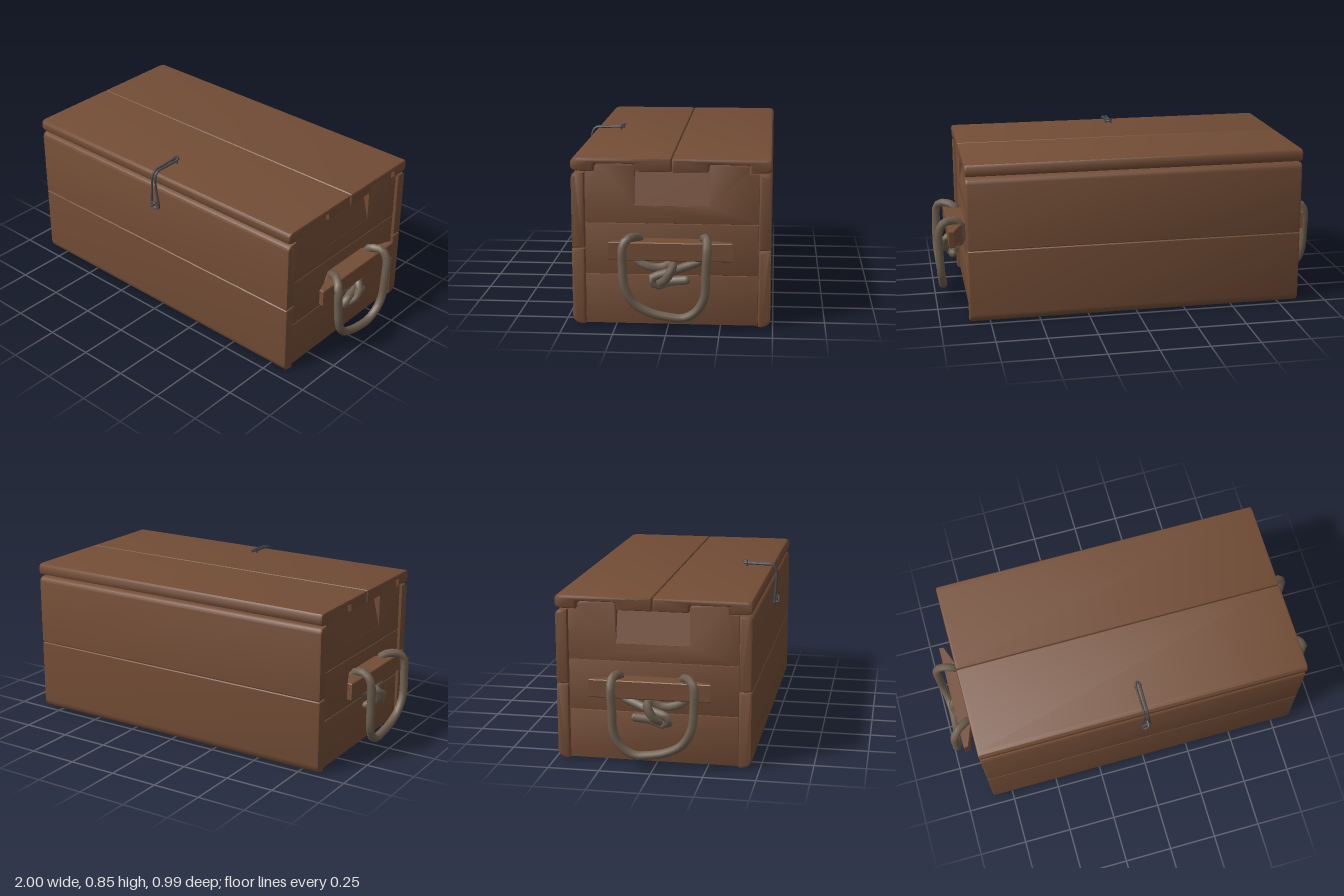
import * as THREE from 'three';
import { toCreasedNormals } from 'three/addons/utils/BufferGeometryUtils.js';

const wood = new THREE.MeshStandardMaterial({ color: 0x734d36 });
wood.name = 'brown wood';
const rope = new THREE.MeshStandardMaterial({ color: 0x6f6050 });
rope.name = 'hemp rope';
const iron = new THREE.MeshStandardMaterial({ color: 0x48484c });
iron.name = 'dark iron';

function add(parent, name, geometry, material, x = 0, y = 0, z = 0) {
  const mesh = new THREE.Mesh(geometry, material);
  mesh.name = name;
  mesh.position.set(x, y, z);
  parent.add(mesh);
  return mesh;
}

// Extrudes a [z, y] outline along x, between x0 and x1, with softened ends
function plank(outline, x0, x1, bevel) {
  const shape = new THREE.Shape(outline.map(([z, y]) => new THREE.Vector2(z, y)));
  const geo = new THREE.ExtrudeGeometry(shape, {
    depth: x1 - x0 - 2 * bevel, bevelThickness: bevel, bevelSize: bevel,
    bevelOffset: -bevel, bevelSegments: 2,
  });
  geo.translate(0, 0, bevel - (x1 - x0) / 2);
  geo.rotateY(-Math.PI / 2);
  geo.translate((x0 + x1) / 2, 0, 0);
  return toCreasedNormals(geo, 0.7);
}

const rect = (z0, z1, y0, y1) => [[z0, y0], [z1, y0], [z1, y1], [z0, y1]];

// Tube through [x, y, z] points with rounded ends
function cord(parent, name, points, radius, segments, sides, material, closed = false) {
  const pts = points.map((p) => new THREE.Vector3(...p));
  const curve = new THREE.CatmullRomCurve3(pts, closed, 'centripetal');
  add(parent, name, new THREE.TubeGeometry(curve, segments, radius, sides, closed), material);
  if (closed) return;
  for (const p of [pts[0], pts[pts.length - 1]]) {
    add(parent, name + 'End', new THREE.SphereGeometry(radius, sides, 4), material, p.x, p.y, p.z);
  }
}

function buildBody(model) {
  const body = new THREE.Group();
  body.name = 'body';
  model.add(body);
  add(body, 'innerBox', new THREE.BoxGeometry(1.58, 0.72, 0.84), wood, 0, 0.375, -0.017);
  add(body, 'bottomBoard', new THREE.BoxGeometry(1.64, 0.02, 0.85), wood, 0, 0.022, -0.017);

  // Two long boards on the front and on the back, rounded on the outside
  for (const [name, inner, outer] of [['front', 0.397, 0.46], ['back', -0.43, -0.49]]) {
    const s = Math.sign(outer);
    const lower = [[inner, 0.003], [outer - s * 0.045, 0], [outer - s * 0.018, 0.008],
      [outer - s * 0.003, 0.025], [outer, 0.045], [outer, 0.372], [outer - s * 0.004, 0.376], [inner, 0.376]];
    const upper = [[inner, 0.378], [outer - s * 0.004, 0.378], [outer, 0.382], [outer, 0.715],
      [outer - s * 0.005, 0.732], [outer - s * 0.02, 0.743], [inner, 0.745]];
    add(body, name + 'LowerBoard', plank(lower, -0.855, 0.855, 0.012), wood);
    add(body, name + 'UpperBoard', plank(upper, -0.855, 0.855, 0.012), wood);
  }
}

// One end of the chest: boards, grip bar and rope handle, built on +x
function buildEnd() {
  const end = new THREE.Group();
  const x0 = 0.78, x1 = 0.84;
  add(end, 'endLowerBoard', plank(rect(-0.428, 0.395, 0.006, 0.249), x0, x1, 0.003), wood);
  add(end, 'endMiddleBoard', plank(rect(-0.428, 0.395, 0.251, 0.499), x0, x1, 0.003), wood);

  // Top board with two raised tabs and a sloping cut between them
  const top = [[-0.428, 0.501], [0.395, 0.501], [0.395, 0.745], [0.348, 0.745], [0.348, 0.773],
    [0.335, 0.785], [0.172, 0.785], [0.16, 0.773], [0.16, 0.585], [-0.195, 0.585], [-0.195, 0.773],
    [-0.207, 0.785], [-0.37, 0.785], [-0.383, 0.773], [-0.383, 0.745], [-0.428, 0.745]];
  add(end, 'endTopBoard', plank(top, x0, x1, 0.002), wood);
  const slope = new THREE.Shape([[x0, 0.58], [x1 - 0.001, 0.58], [x1 - 0.001, 0.586], [0.80, 0.748], [x0, 0.748]]
    .map((p) => new THREE.Vector2(...p)));
  add(end, 'endSlopedCut', new THREE.ExtrudeGeometry(slope, { depth: 0.355, bevelEnabled: false }),
    wood, 0, 0, -0.195);

  // Grip bar, undercut at both ends
  const barShape = new THREE.Shape([[0.83, -0.15], [0.87, -0.21], [0.905, -0.305], [0.932, -0.31],
    [0.932, 0.275], [0.905, 0.27], [0.87, 0.17], [0.83, 0.11]].map(([x, z]) => new THREE.Vector2(x, -z)));
  const bar = new THREE.ExtrudeGeometry(barShape, {
    depth: 0.08, bevelThickness: 0.004, bevelSize: 0.004, bevelOffset: -0.004, bevelSegments: 1,
  });
  bar.rotateX(-Math.PI / 2);
  add(end, 'gripBar', bar, wood, 0, 0.346, 0);

  // Rope: knot, up behind the bar, around the hanging loop and back to the knot
  cord(end, 'ropeHandle', [
    [0.885, 0.22, 0.065], [0.91, 0.228, 0.04], [0.937, 0.26, 0.0], [0.937, 0.31, -0.025],
    [0.90, 0.325, -0.03], [0.88, 0.298, 0.03], [0.88, 0.305, 0.1], [0.865, 0.34, 0.15],
    [0.865, 0.42, 0.13], [0.885, 0.442, 0.14], [0.935, 0.45, 0.175], [0.965, 0.425, 0.2],
    [0.972, 0.32, 0.203], [0.975, 0.22, 0.192], [0.968, 0.145, 0.15], [0.962, 0.10, 0.075],
    [0.96, 0.08, -0.01], [0.96, 0.077, -0.085], [0.966, 0.115, -0.145], [0.973, 0.18, -0.18],
    [0.978, 0.30, -0.187], [0.974, 0.41, -0.193], [0.945, 0.447, -0.19], [0.885, 0.445, -0.172],
    [0.865, 0.42, -0.17], [0.865, 0.34, -0.165], [0.885, 0.305, -0.085], [0.91, 0.28, 0.0],
    [0.92, 0.255, 0.07], [0.912, 0.218, 0.05], [0.90, 0.235, -0.01], [0.905, 0.245, -0.09],
  ], 0.0215, 80, 7, rope);
  return end;
}

// Two lid boards, notched underneath over the tabs
function buildLid(model) {
  const lid = new THREE.Group();
  lid.name = 'lid';
  model.add(lid);
  const front = [[-0.016, 0.75], [0.155, 0.75], [0.158, 0.787], [0.35, 0.787], [0.353, 0.75],
    [0.435, 0.751], [0.453, 0.757], [0.46, 0.77], [0.46, 0.798], [0.45, 0.812], [0.43, 0.816],
    [-0.012, 0.816], [-0.016, 0.812]];
  const back = [[-0.02, 0.75], [-0.19, 0.75], [-0.193, 0.787], [-0.386, 0.787], [-0.389, 0.75],
    [-0.465, 0.75], [-0.484, 0.757], [-0.49, 0.77], [-0.49, 0.8], [-0.482, 0.812], [-0.46, 0.816],
    [-0.024, 0.816], [-0.02, 0.812]];
  add(lid, 'lidFrontBoard', plank(front, -0.857, 0.857, 0.012), wood);
  add(lid, 'lidBackBoard', plank(back, -0.857, 0.857, 0.012), wood);
}

// Bent wire hasp held by a staple on the lid and one on the front
function buildLatch(model) {
  const latch = new THREE.Group();
  latch.name = 'latch';
  model.add(latch);
  const strand = [[0.006, 0.832, 0.3], [0.01, 0.828, 0.4], [0.009, 0.825, 0.455], [0.01, 0.80, 0.474],
    [0.015, 0.72, 0.475], [0.024, 0.645, 0.47], [0.019, 0.618, 0.469]];
  const otherSide = strand.map(([x, y, z]) => [-x, y, z]).reverse();
  cord(latch, 'haspWire', [...strand, ...otherSide], 0.006, 48, 6, iron, true);
  cord(latch, 'lidStaple', [[0.014, 0.81, 0.32], [0.013, 0.838, 0.318], [0, 0.842, 0.3],
    [-0.013, 0.838, 0.318], [-0.014, 0.81, 0.32]], 0.005, 14, 6, iron);
  cord(latch, 'frontStaple', [[0.012, 0.66, 0.45], [0.012, 0.655, 0.487], [0, 0.642, 0.489],
    [-0.012, 0.632, 0.487], [-0.012, 0.63, 0.45]], 0.006, 14, 6, iron);
  add(latch, 'crossPin', new THREE.BoxGeometry(0.05, 0.01, 0.01), iron, 0, 0.645, 0.475);
}

export function createModel() {
  const model = new THREE.Group();
  model.name = 'chest';
  buildBody(model);
  buildLid(model);
  buildLatch(model);
  for (const side of [1, -1]) {
    const end = buildEnd();
    end.name = side > 0 ? 'leftEnd' : 'rightEnd';
    end.scale.x = side;
    model.add(end);
  }
  return model;
}
